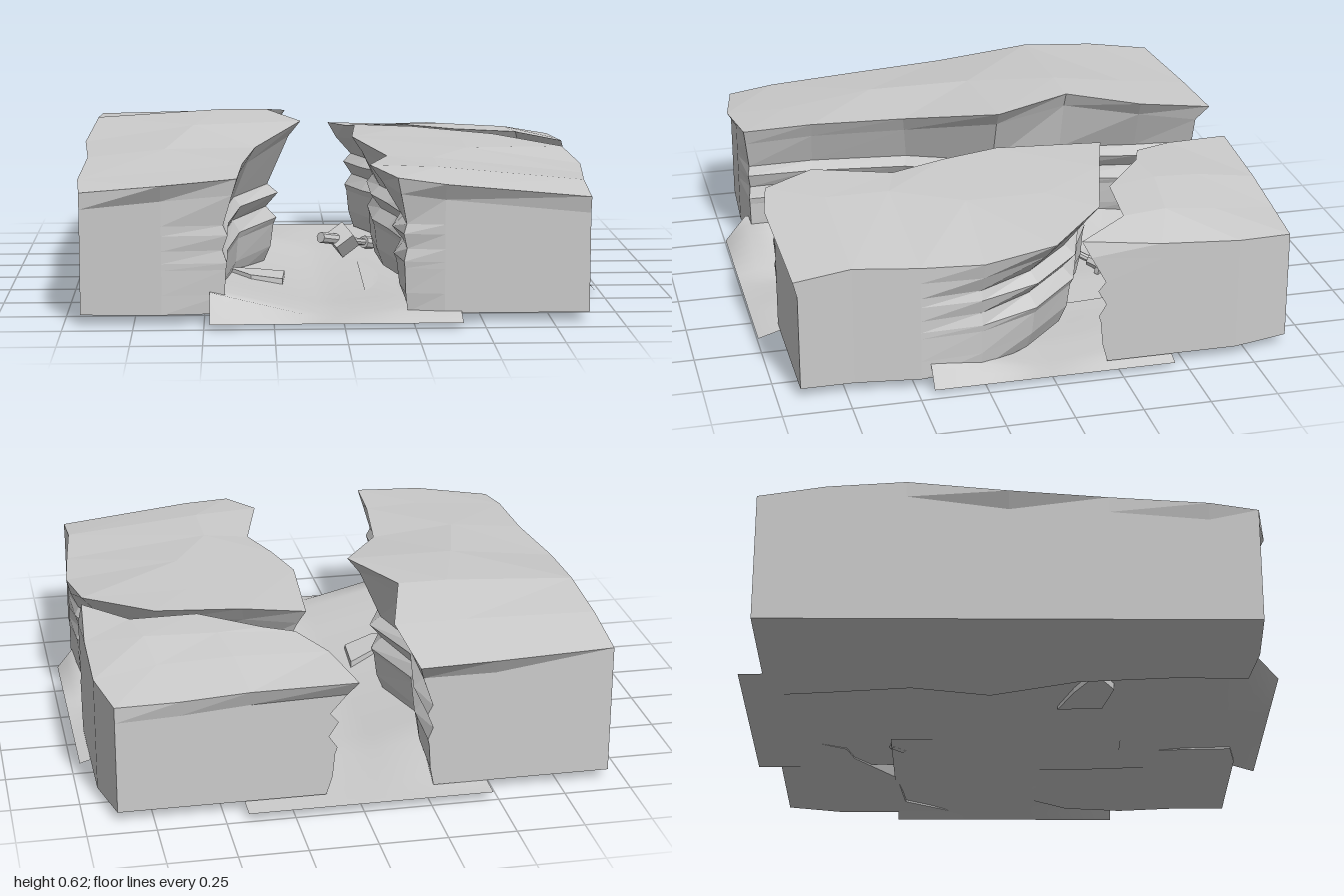
import * as THREE from 'three';

const mat = new THREE.MeshStandardMaterial({ color: 0xcccccc, side: THREE.DoubleSide });
const flat = new THREE.MeshStandardMaterial({ color: 0xcccccc, side: THREE.DoubleSide, flatShading: true });

// Layered cliff profile: [height, inset from the rim]
const LAYERS = [[0.36, 0.11], [0.325, 0.075], [0.27, 0.115], [0.225, 0.08], [0.2, 0.09], [0.11, 0.1], [0.04, 0.125]];
const { clamp, lerp } = THREE.MathUtils;

function add(parent, name, geometry, material = flat) {
  const mesh = new THREE.Mesh(geometry, material);
  mesh.name = name;
  parent.add(mesh);
  return mesh;
}

// Plateau from rows of top points [x, z, height, erosion], rows running back to front, points left to right
function mesa(rows) {
  const pos = [];
  const quad = (a, b, c, d) => pos.push(...a, ...b, ...c, ...a, ...c, ...d);
  const gap = (a, b) => Math.hypot(a[0] - b[0], a[2] - b[2]);
  const top = rows.map(r => r.map(([x, z, y]) => [x, y, z]));
  for (let r = 0; r < top.length - 1; r++)
    for (let c = 0; c < top[0].length - 1; c++) {
      const [a, b, d, e] = [top[r][c], top[r + 1][c], top[r + 1][c + 1], top[r][c + 1]];
      // Split each cell along its shorter diagonal
      if (gap(a, d) < gap(b, e)) quad(a, b, d, e);
      else quad(b, d, e, a);
    }

  // Rim, walked once around; edges that leave the eroded stretch count less for the direction
  const inner = rows.slice(1, -1);
  const rim = [...rows[0], ...inner.map(r => r.at(-1)), ...[...rows.at(-1)].reverse(), ...inner.map(r => r[0]).reverse()];
  const n = rim.length;
  const normal = i => {
    const here = rim[i];
    const edge = other => {
      const dx = other[0] - here[0], dz = other[1] - here[1];
      const w = (other[3] ? 1 : 0.4) / Math.hypot(dx, dz);
      return [dx * w, dz * w];
    };
    const p = edge(rim[(i + n - 1) % n]), q = edge(rim[(i + 1) % n]);
    const dx = q[0] - p[0], dz = q[1] - p[1], l = Math.hypot(dx, dz);
    return [dz / l, -dx / l];
  };
  const ring = (height, inset) => rim.map(([x, z, , e = 0], i) => {
    const [nx, nz] = normal(i);
    return [clamp(x - nx * inset * e, -0.94, 0.93), height, clamp(z - nz * inset * e, -0.91, 0.915)];
  });

  // Cliff walls: rim, lip, then the eroded layers
  const lip = ring(0, 0.04).map((p, i) => [p[0], rim[i][2] - 0.06, p[2]]);
  const rings = [rim.map(([x, z, y]) => [x, y, z]), lip, ...LAYERS.map(l => ring(...l))];
  for (let k = 0; k < rings.length - 1; k++)
    for (let i = 0; i < n; i++) {
      const j = (i + 1) % n;
      quad(rings[k][i], rings[k][j], rings[k + 1][j], rings[k + 1][i]);
    }

  // Underside, turned to face down
  const base = rings.at(-1);
  const flatBase = base.map(p => new THREE.Vector2(p[0], p[2]));
  for (const [a, b, c] of THREE.ShapeUtils.triangulateShape(flatBase, [])) {
    const [A, B, C] = [base[a], base[b], base[c]];
    const down = (B[0] - A[0]) * (C[2] - A[2]) - (B[2] - A[2]) * (C[0] - A[0]) > 0;
    pos.push(...A, ...(down ? B : C), ...(down ? C : B));
  }
  const g = new THREE.BufferGeometry();
  g.setAttribute('position', new THREE.Float32BufferAttribute(pos, 3));
  g.computeVertexNormals();
  return g;
}

// Moves every vertex to the height given by a rule
function reshape(g, height) {
  const p = g.attributes.position;
  for (let i = 0; i < p.count; i++) p.setY(i, height(p.getX(i), p.getZ(i), p.getY(i)));
  g.computeVertexNormals();
  return g;
}

// Canyon bed along z from z0 to z1: a shallow channel rising to its left, level at both ends
function bed(z0, z1, backLevel) {
  const g = new THREE.PlaneGeometry(0.9, z1 - z0, 16, 24);
  g.rotateX(-Math.PI / 2).translate(-0.03, 0, (z0 + z1) / 2);
  return reshape(g, (x, z) => {
    const side = x < -0.07 ? (-0.07 - x) / 0.41 * 0.1 : Math.min(1, (x + 0.07) / 0.27) * 0.025;
    const end = clamp((z1 - z) / 0.083, 0, 1) * clamp((z - z0 - 0.08) / 0.4, 0, 1);
    const dip = 0.022 * Math.min(1, (z - 0.1) ** 2 / 0.36);
    return lerp(z > 0.5 ? 0.022 : backLevel, side + dip, end);
  });
}

export function createModel() {
  const model = new THREE.Group();
  model.name = 'canyon';

  // Long plateau on the left of the gorge
  add(model, 'longPlateau', mesa([
    [[-0.94, -0.91, 0.53], [-0.5, -0.945, 0.53], [-0.21, -0.96, 0.53, 0.6]],
    [[-0.94, -0.66, 0.57], [-0.45, -0.66, 0.58], [-0.18, -0.66, 0.58, 1]],
    [[-0.94, -0.37, 0.59], [-0.45, -0.37, 0.62], [-0.26, -0.37, 0.62, 0.7]],
    [[-0.97, 0, 0.54], [-0.55, -0.03, 0.6], [-0.13, -0.06, 0.61, 1.2]],
    [[-0.94, 0.36, 0.53], [-0.65, 0.36, 0.56], [-0.31, 0.29, 0.555, 0.8]],
    [[-0.955, 0.72, 0.5], [-0.6, 0.72, 0.53], [-0.36, 0.65, 0.545, 0.7]],
    [[-0.94, 0.9, 0.48], [-0.65, 0.95, 0.51], [-0.38, 0.92, 0.53, 0.5]],
  ]));

  // Front plateau on the right
  add(model, 'frontPlateau', mesa([
    [[0.1, -0.41, 0.55, 1.1], [0.33, -0.34, 0.55, 1], [0.65, -0.25, 0.53, 1.2]],
    [[0.07, 0, 0.555, 1], [0.5, -0.08, 0.54], [0.9, -0.02, 0.51, 1.3]],
    [[0.12, 0.22, 0.55, 1], [0.5, 0.22, 0.54], [0.935, 0.25, 0.48, 0.4]],
    [[0.18, 0.43, 0.54, 0.7], [0.35, 0.48, 0.54], [0.91, 0.48, 0.48]],
    [[0.1, 0.73, 0.55, 1.1], [0.35, 0.72, 0.54], [0.88, 0.72, 0.49]],
    [[0.19, 0.92, 0.53, 0.4], [0.36, 0.95, 0.51], [0.88, 0.93, 0.46]],
  ]));

  // Back plateau behind the side canyon
  add(model, 'backPlateau', mesa([
    [[0.01, -0.95, 0.49, 0.9], [0.4, -0.935, 0.48], [0.65, -0.925, 0.46], [0.88, -0.91, 0.45]],
    [[0.07, -0.7, 0.51, 1], [0.42, -0.7, 0.52], [0.7, -0.68, 0.5], [0.93, -0.7, 0.47]],
    [[0.165, -0.54, 0.53, 1], [0.45, -0.52, 0.54], [0.72, -0.48, 0.53], [0.93, -0.4, 0.49]],
    [[0.28, -0.5, 0.54, 1], [0.5, -0.33, 0.54, 1], [0.75, -0.31, 0.53, 1], [0.91, -0.11, 0.52, 0.9]],
  ]));

  // Gorge floor, and the same kind of bed turned sideways for the side canyon
  add(model, 'gorgeFloor', bed(-1, 1, 0.035), mat);
  add(model, 'sideCanyonFloor', bed(0.1, 0.97, 0.022).rotateY(Math.PI / 2).translate(0, 0, -0.035), mat);

  // Low slab tilted with the gorge floor
  const outline = [[-0.42, 0.33], [-0.31, 0.25], [-0.2, 0.19], [-0.21, 0.36], [-0.33, 0.4]];
  const slab = new THREE.Shape(outline.map(([x, z]) => new THREE.Vector2(x, -z)));
  const slabGeo = new THREE.ExtrudeGeometry(slab, { depth: 0.04, bevelEnabled: false }).rotateX(-Math.PI / 2);
  add(model, 'fallenSlab', reshape(slabGeo, (x, z, y) => y + 0.018 - (x + 0.2) * 0.2));

  // Tool lying across the junction, its far end sunk into the floor
  const tool = new THREE.Group();
  tool.name = 'tool';
  tool.position.set(0.045, 0.095, -0.275);
  tool.rotation.set(0.2, Math.atan2(0.72, -0.7), 0, 'YXZ');
  model.add(tool);
  const rod = (name, r, z0, z1) =>
    add(tool, name, new THREE.CylinderGeometry(r, r, z1 - z0, 8).rotateX(Math.PI / 2)).position.z = (z0 + z1) / 2;
  const block = add(tool, 'block', new THREE.BoxGeometry(0.085, 0.085, 0.085));
  block.rotation.set(0.5, 0.3, 0.5);
  rod('grip', 0.022, -0.13, -0.03);
  rod('shaft', 0.014, 0, 0.265);
  rod('collar', 0.026, 0.13, 0.18);
  for (const [z, width, height] of [[0.195, 0.11, 0.028], [0.23, 0.06, 0.06]])
    add(tool, 'crossPiece', new THREE.BoxGeometry(width, height, 0.018)).position.z = z;
  return model;
}
